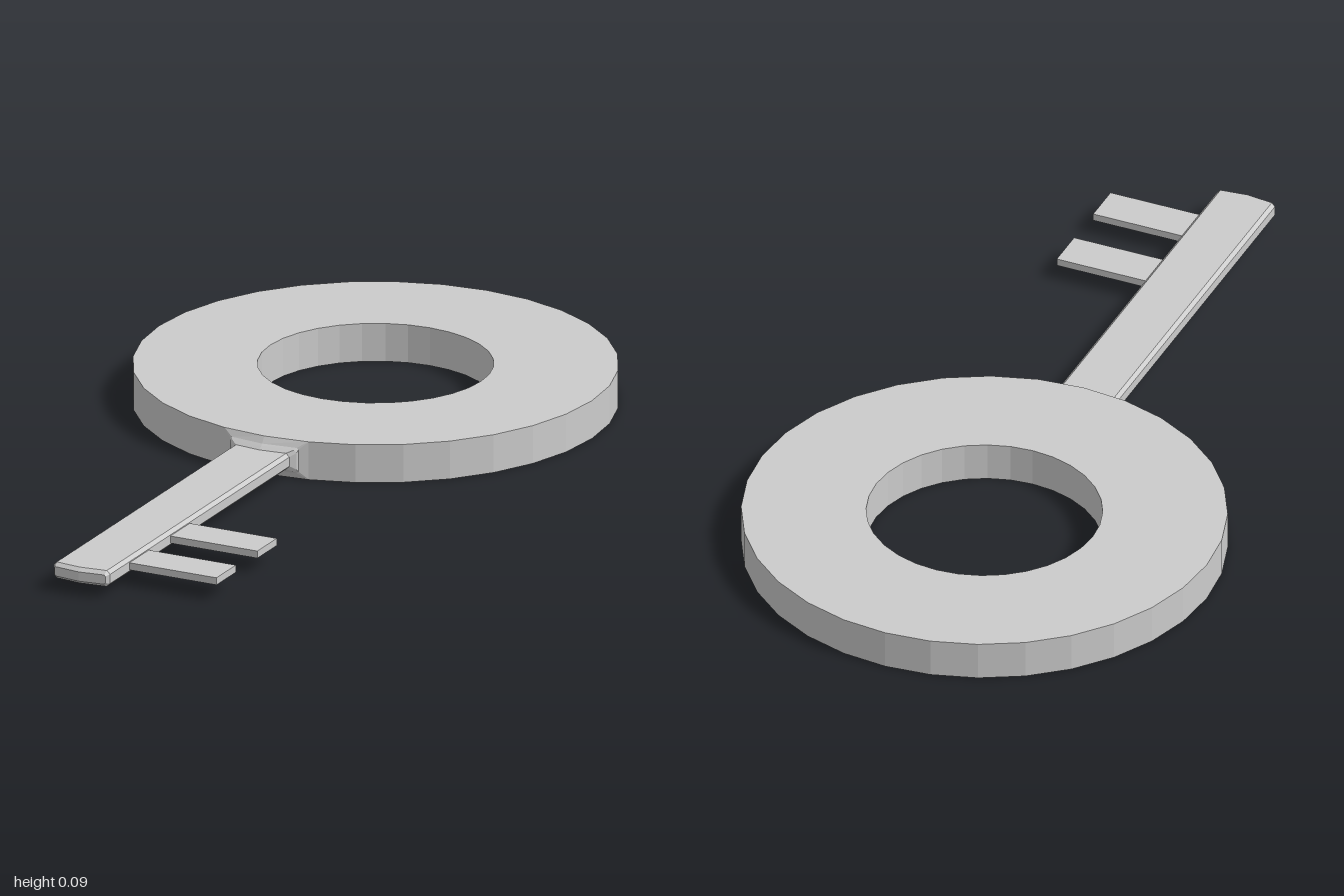
import * as THREE from 'three';

const MID = 0.045; // mid-height of the key
const material = new THREE.MeshStandardMaterial({ color: 0xcccccc, flatShading: true });

function addMesh(group, geometry, name) {
  const mesh = new THREE.Mesh(geometry, material);
  mesh.name = name;
  group.add(mesh);
  return mesh;
}

// Chamfered rectangular section, bowed so that its middle lies further forward
function section({ w, h, c, z, bow }) {
  const quarter = [[0, h], [w - c, h], [w, h - c]];
  const right = [...quarter, ...quarter.map(([x, y]) => [x, -y]).reverse()];
  const left = right.slice(1, -1).map(([x, y]) => [-x, y]).reverse();
  return [...right, ...left].map(([x, y]) => [x, MID + y, z - bow * Math.abs(x) / w]);
}

// Skin neighbouring sections and cap the front end
function loft(sections) {
  const n = sections[0].length;
  const index = [];
  for (let s = 0; s < sections.length - 1; s++) {
    for (let i = 0; i < n; i++) {
      const a = s * n + i, b = s * n + (i + 1) % n;
      index.push(a, a + n, b, b, a + n, b + n);
    }
  }
  const last = (sections.length - 1) * n;
  for (let i = 1; i < n - 1; i++) index.push(last, last + i + 1, last + i);
  const geometry = new THREE.BufferGeometry();
  geometry.setAttribute('position', new THREE.Float32BufferAttribute(sections.flat(2), 3));
  geometry.setIndex(index);
  geometry.computeVertexNormals();
  return geometry;
}

export function createModel() {
  const key = new THREE.Group();
  key.name = 'key';

  // Flat ring handle with square edges
  const profile = [[0.265, 0], [0.545, 0], [0.545, 0.09], [0.265, 0.09], [0.265, 0]];
  const ring = new THREE.LatheGeometry(profile.map(([r, y]) => new THREE.Vector2(r, y)), 32);
  addMesh(key, ring, 'ringHandle').position.z = -0.455;

  // Shaft growing out of the ring through a short flare, with a chamfered tip
  addMesh(key, loft([
    { w: 0.106, h: 0.045, c: 0.001, z: 0.09, bow: 0.0105 },
    { w: 0.086, h: 0.03, c: 0.004, z: 0.1, bow: 0.01 },
    { w: 0.084, h: 0.026, c: 0.006, z: 0.105, bow: 0.01 },
    { w: 0.071, h: 0.019, c: 0.008, z: 0.113, bow: 0.008 },
    { w: 0.071, h: 0.019, c: 0.008, z: 0.99, bow: 0.008 },
    { w: 0.064, h: 0.011, c: 0.003, z: 1.0, bow: 0.008 },
  ].map(section)), 'shaft');

  // Two thin teeth on the left side
  for (const z of [0.64, 0.84]) {
    addMesh(key, new THREE.BoxGeometry(0.23, 0.017, 0.095), 'tooth').position.set(0.175, MID, z);
  }
  return key;
}
